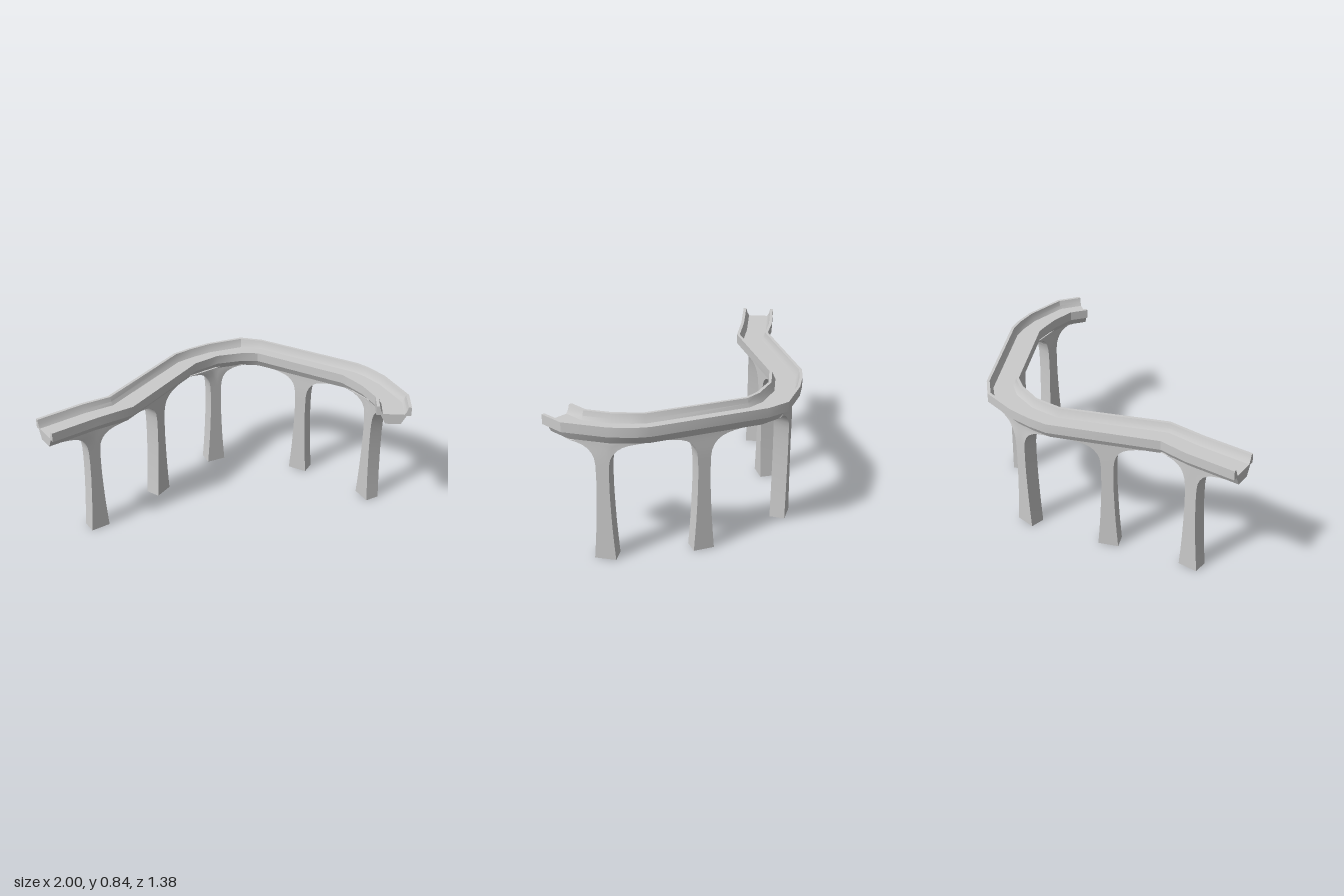
import * as THREE from 'three';
import { toCreasedNormals } from 'three/addons/utils/BufferGeometryUtils.js';

// Stations along the route: outer edge x, z and inner edge x, z
const STATIONS = [
  [-1, -0.49, -1, -0.29], [-0.7, -0.49, -0.7, -0.29], [-0.53, -0.47, -0.47, -0.275],
  [0.09, -0.69, 0.13, -0.5], [0.21, -0.693, 0.22, -0.5], [0.35, -0.68, 0.3, -0.5],
  [0.57, -0.62, 0.45, -0.44], [0.665, -0.515, 0.53, -0.38], [0.97, 0.09, 0.79, 0.15],
  [0.99, 0.17, 0.797, 0.22], [1, 0.31, 0.802, 0.33], [0.96, 0.57, 0.78, 0.47],
  [0.87, 0.69, 0.71, 0.56],
];
const centre = ([ox, oz, ix, iz]) => new THREE.Vector2((ox + ix) / 2, (oz + iz) / 2);
const DIST = [0];
for (let i = 1; i < STATIONS.length; i++) {
  DIST.push(DIST[i - 1] + centre(STATIONS[i]).distanceTo(centre(STATIONS[i - 1])));
}
const LENGTH = DIST[DIST.length - 1];

// Point at distance s along the route, off to the inner side, at height y
function onRoute(s, off, y) {
  let i = 0;
  while (i < DIST.length - 2 && s > DIST[i + 1]) i++;
  const t = (s - DIST[i]) / (DIST[i + 1] - DIST[i]);
  const [ox, oz, ix, iz] = STATIONS[i].map((v, k) => THREE.MathUtils.lerp(v, STATIONS[i + 1][k], t));
  const f = 0.5 + off / 0.2;
  return new THREE.Vector3(ox + (ix - ox) * f, y, oz + (iz - oz) * f);
}

// Skin closed rings of points; caps follow the flat outlines of the end rings
function loft(rings, startOutline, endOutline) {
  const n = rings[0].length;
  const pos = [];
  const tri = (...pts) => pts.forEach((p) => pos.push(p.x, p.y, p.z));
  for (let r = 0; r < rings.length - 1; r++) {
    const a = rings[r], b = rings[r + 1];
    for (let i = 0; i < n; i++) {
      const j = (i + 1) % n;
      tri(a[i], b[i], b[j]);
      tri(a[i], b[j], a[j]);
    }
  }
  const last = rings[rings.length - 1];
  for (const [i, j, k] of THREE.ShapeUtils.triangulateShape(startOutline, [])) {
    tri(rings[0][i], rings[0][j], rings[0][k]);
  }
  for (const [i, j, k] of THREE.ShapeUtils.triangulateShape(endOutline, [])) {
    tri(last[k], last[j], last[i]);
  }
  const geo = new THREE.BufferGeometry();
  geo.setAttribute('position', new THREE.Float32BufferAttribute(pos, 3));
  return toCreasedNormals(geo, 0.45);
}

// Trough-shaped deck with parapets and a tapering underside
function deckGeometry() {
  const half = [[0.045, 0.72], [0.075, 0.78], [0.1, 0.78], [0.1, 0.837], [0.082, 0.837], [0.074, 0.808], [0.062, 0.787]];
  const outline = [...half, ...half.map(([o, y]) => [-o, y]).reverse()].map((p) => new THREE.Vector2(...p));
  const rings = DIST.map((s) => outline.map((p) => onRoute(s, p.x, p.y)));
  return loft(rings, outline, outline);
}

// Pier half length along the route by height, from the arch crown to the foot
const PIER = [
  [0.25, 0.73], [0.22, 0.721], [0.17, 0.714], [0.13, 0.705], [0.1, 0.693], [0.075, 0.675],
  [0.056, 0.65], [0.044, 0.62], [0.038, 0.58], [0.036, 0.5], [0.037, 0.4], [0.041, 0.3],
  [0.046, 0.2], [0.053, 0.1], [0.061, 0],
];
const PIER_HALF_WIDTH = 0.045;

function pierOutline(a) {
  const pts = [];
  for (const side of [1, -1]) {
    for (let k = -4; k <= 4; k++) pts.push(new THREE.Vector2(side * PIER_HALF_WIDTH, (side * a * k) / 4));
  }
  return pts;
}

function pierGeometry(x, z) {
  // nearest place on the route to the wanted foot
  let s0 = 0, best = Infinity;
  for (let s = 0; s <= LENGTH; s += 0.005) {
    const p = onRoute(s, 0, 0);
    const d = Math.hypot(p.x - x, p.z - z);
    if (d < best) { best = d; s0 = s; }
  }
  const mid = onRoute(s0, 0, 0);
  const along = onRoute(s0 + 0.06, 0, 0).sub(onRoute(s0 - 0.06, 0, 0)).normalize();
  const across = new THREE.Vector3(-along.z, 0, along.x);
  // the shaft is straight, the flared head bends with the route
  const rings = PIER.map(([a, y]) => {
    const bend = THREE.MathUtils.smoothstep(y, 0.6, 0.71);
    return pierOutline(a).map((p) => {
      const straight = mid.clone().addScaledVector(along, p.y).addScaledVector(across, p.x).setY(y);
      return straight.lerp(onRoute(s0 + p.y, p.x, y), bend);
    });
  });
  return loft(rings, pierOutline(PIER[0][0]), pierOutline(PIER[PIER.length - 1][0]));
}

export function createModel() {
  const group = new THREE.Group();
  group.name = 'viaduct';
  const material = new THREE.MeshStandardMaterial({ color: 0xcccccc });
  const add = (name, geometry) => {
    const mesh = new THREE.Mesh(geometry, material);
    mesh.name = name;
    group.add(mesh);
  };
  add('deck', deckGeometry());
  const feet = [[-0.71, -0.39], [-0.195, -0.485], [0.325, -0.585], [0.735, -0.155], [0.893, 0.355]];
  feet.forEach(([x, z], i) => add(`pier${i + 1}`, pierGeometry(x, z)));
  return group;
}
